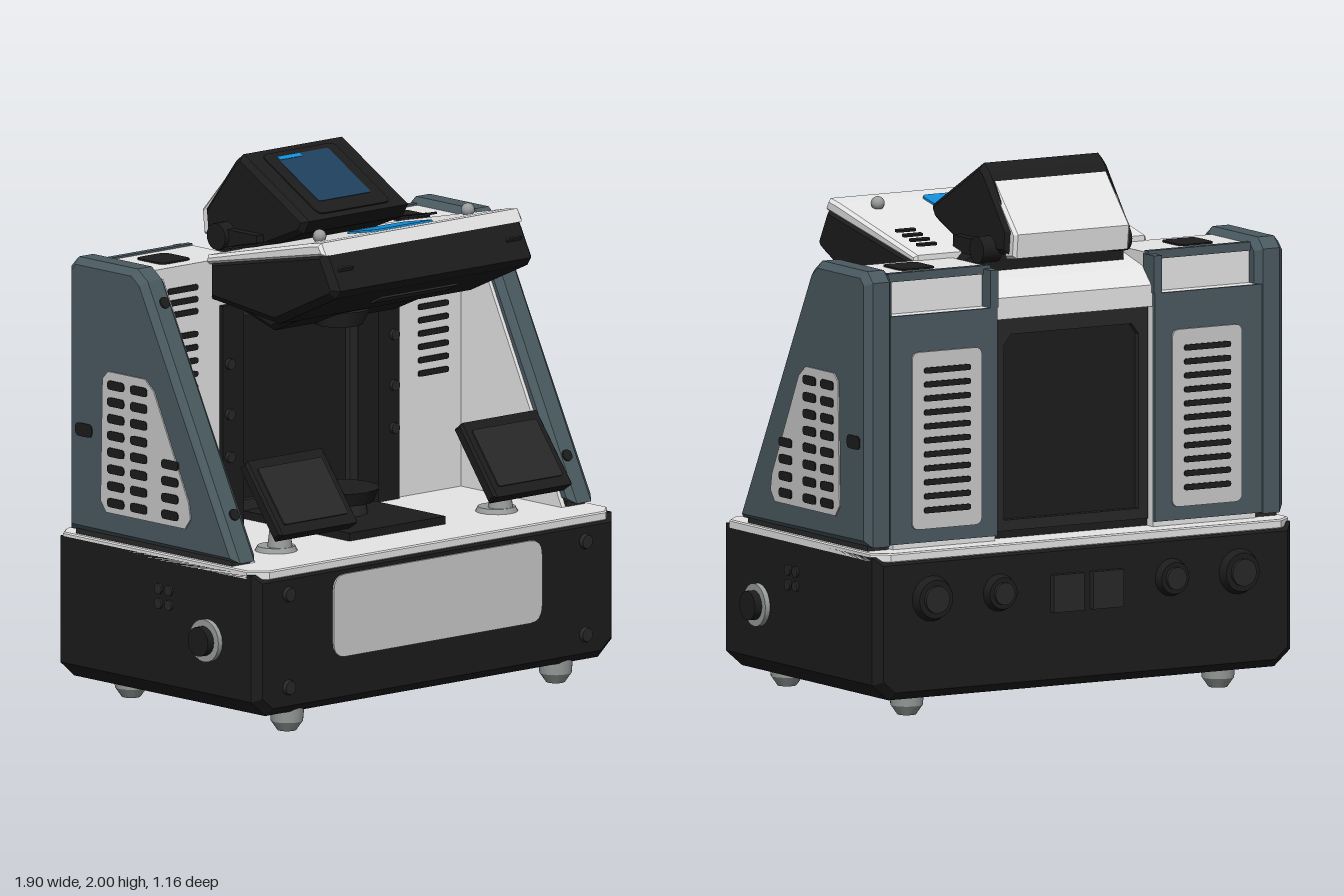
import * as THREE from 'three';

const mat = (name, color) => {
  const m = new THREE.MeshStandardMaterial({ color });
  m.name = name;
  return m;
};

export function createModel() {
  const black = mat('black', 0x1c1c1c), dark = mat('dark grey', 0x282828);
  const white = mat('white', 0xe6e6e6), pale = mat('pale grey', 0xcacaca);
  const slate = mat('slate', 0x4a5a60), grey = mat('grey', 0x9a9d9d);
  const blue = mat('blue', 0x128fda), glass = mat('screen blue', 0x1f3f5c);
  const model = new THREE.Group();

  const add = (name, geo, m, x = 0, y = 0, z = 0, rx = 0, ry = 0, rz = 0, parent = model) => {
    const mesh = new THREE.Mesh(geo, m);
    mesh.name = name;
    mesh.position.set(x, y, z);
    mesh.rotation.set(rx, ry, rz);
    parent.add(mesh);
    return mesh;
  };
  // box given by its limits
  const box = (name, m, x0, x1, y0, y1, z0, z1) =>
    add(name, new THREE.BoxGeometry(Math.abs(x1 - x0), y1 - y0, z1 - z0), m, (x0 + x1) / 2, (y0 + y1) / 2, (z0 + z1) / 2);
  const bevelled = (shape, length, b) => {
    const g = new THREE.ExtrudeGeometry(shape, {
      depth: length - 2 * b, bevelEnabled: b > 0, bevelThickness: b, bevelSize: b, bevelOffset: -b, bevelSegments: 1,
    });
    return g.translate(0, 0, b);
  };
  const poly = pts => new THREE.Shape(pts.map(p => new THREE.Vector2(p[0], p[1])));
  // [z, y] profile swept from x0 to x1
  const sweepX = (name, m, pts, x0, x1, b = 0) => {
    const g = bevelled(poly(pts.map(([z, y]) => [-z, y])), Math.abs(x1 - x0), b);
    return add(name, g.rotateY(Math.PI / 2), m, Math.min(x0, x1));
  };
  // thin rounded plate facing +z before rotation
  const plate = (name, m, w, h, r, x, y, z, rx = 0, ry = 0, t = 0.008) => {
    const s = new THREE.Shape(), a = w / 2, c = h / 2;
    s.moveTo(-a + r, -c).lineTo(a - r, -c).quadraticCurveTo(a, -c, a, -c + r)
      .lineTo(a, c - r).quadraticCurveTo(a, c, a - r, c)
      .lineTo(-a + r, c).quadraticCurveTo(-a, c, -a, c - r)
      .lineTo(-a, -c + r).quadraticCurveTo(-a, -c, -a + r, -c);
    const g = new THREE.ExtrudeGeometry(s, { depth: t, bevelEnabled: false, curveSegments: 4 });
    return add(name, g, m, x, y, z, rx, ry);
  };
  const disc = (name, m, r1, r2, len, x, y, z, rx = 0, rz = 0) =>
    add(name, new THREE.CylinderGeometry(r1, r2, len, 20), m, x, y, z, rx, 0, rz);
  const H = Math.PI / 2;

  // base cabinet and deck
  const cabinet = poly([[-0.9, 0.14], [-0.83, 0.08], [0.83, 0.08], [0.9, 0.14], [0.9, 0.615], [-0.9, 0.615]]);
  add('baseCabinet', bevelled(cabinet, 1.1, 0.03), black, 0, 0, -0.545);
  const deck = poly([[-0.9, -0.5], [-0.84, -0.56], [0.84, -0.56], [0.9, -0.5],
    [0.9, 0.5], [0.84, 0.55], [-0.84, 0.55], [-0.9, 0.5]]);
  add('deck', bevelled(deck, 0.035, 0.005).rotateX(-H), white, 0, 0.595, 0);
  plate('frontPanel', pale, 1.04, 0.31, 0.06, 0, 0.415, 0.554);

  // platform, turntable and recessed back wall
  box('platform', black, -0.24, 0.24, 0.625, 0.66, -0.28, 0.34);
  disc('turntable', black, 0.15, 0.13, 0.05, 0, 0.73, 0.02);
  disc('turntableStem', dark, 0.1, 0.11, 0.06, 0, 0.68, 0.02);
  box('backWall', black, -0.35, 0.35, 0.625, 1.5, -0.42, -0.26);
  for (const [z, ry] of [[-0.26, 0], [-0.42, Math.PI]]) {
    const g = bevelled((() => {
      const s = poly([[-0.33, 0.66], [0.33, 0.66], [0.33, 1.45], [-0.33, 1.45]]);
      s.holes.push(new THREE.Path([[-0.29, 0.7], [-0.29, 1.35], [-0.26, 1.39], [0.26, 1.39], [0.29, 1.35], [0.29, 0.7]]
        .map(p => new THREE.Vector2(...p))));
      return s;
    })(), 0.025, 0);
    add('wallFrame', g, dark, 0, 0, z, 0, ry);
  }
  sweepX('rearCrossbar', white, [[-0.46, 1.45], [-0.46, 1.53], [-0.4, 1.59], [-0.2, 1.64], [-0.2, 1.45]], -0.36, 0.36);

  for (const s of [-1, 1]) {
    // feet and cabinet fittings
    for (const z of [0.47, -0.38]) {
      disc('foot', grey, 0.065, 0.06, 0.055, s * 0.67, 0.063, z);
      disc('footTip', grey, 0.06, 0.035, 0.036, s * 0.67, 0.018, z);
    }
    for (const y of [0.18, 0.53]) disc('frontBolt', dark, 0.025, 0.03, 0.02, s * 0.74, y, 0.56, H);
    disc('knobRing', grey, 0.08, 0.08, 0.03, s * 0.905, 0.34, 0.29, 0, H);
    disc('knob', black, 0.055, 0.055, 0.06, s * 0.92, 0.34, 0.29, 0, H);
    for (const z of [0.025, 0.08]) for (const y of [0.44, 0.495])
      disc('sideSocket', dark, 0.02, 0.02, 0.012, s * 0.902, y, z, 0, H);
    for (const [x, r] of [[0.66, 0.085], [0.37, 0.07]]) {
      disc('rearPortRim', black, r * 0.85, r, 0.03, s * x, 0.45, -0.56, -H);
      disc('rearPort', dark, r * 0.6, r * 0.6, 0.04, s * x, 0.45, -0.568, -H);
    }
    box('rearSwitch', dark, s * 0.02, s * 0.15, 0.36, 0.5, -0.57, -0.54);

    // tower with a notched rear top
    box('tower', white, s * 0.34, s * 0.78, 0.625, 1.5, -0.465, -0.15);
    box('towerTop', white, s * 0.34, s * 0.78, 1.5, 1.645, -0.42, -0.15);
    box('notchLip', slate, s * 0.34, s * 0.78, 1.62, 1.652, -0.43, -0.405);
    box('notchCheek', slate, s * 0.335, s * 0.37, 1.5, 1.64, -0.48, -0.4);
    box('towerRearPanel', slate, s * 0.34, s * 0.8, 0.65, 1.5, -0.48, -0.46);
    plate('rearVentPanel', pale, 0.3, 0.66, 0.03, s * 0.56, 1.03, -0.479, 0, Math.PI);
    for (let i = 0; i < 11; i++)
      plate('rearVentSlot', black, 0.2, 0.022, 0.01, s * 0.56, 0.77 + i * 0.052, -0.484, 0, Math.PI);
    plate('topHatch', black, 0.15, 0.15, 0.03, s * 0.6, 1.643, -0.28, -H);
    box('towerInnerPost', black, s * 0.335, s * 0.44, 0.63, 1.47, -0.27, -0.13);
    for (const y of [0.9, 1.06, 1.25]) disc('postBolt', dark, 0.02, 0.02, 0.02, s * 0.41, y, -0.125, H);
    for (const y of [1.08, 1.13, 1.18, 1.23, 1.28, 1.33, 1.38, 1.465, 1.51, 1.555])
      plate('frontVentSlot', black, 0.15, 0.022, 0.01, s * 0.625, y, -0.152);

    // sloping side panel with pale lining
    sweepX('sidePanel', slate, [[0.44, 0.645], [-0.48, 0.645], [-0.48, 1.63], [-0.44, 1.67], [-0.12, 1.67], [-0.065, 1.63]],
      s * 0.78, s * 0.9, 0.025);
    box('sidePanelFoot', dark, s * 0.79, s * 0.88, 0.625, 0.65, -0.45, 0.4);
    sweepX('panelLining', white, [[0.4, 0.63], [-0.3, 0.63], [-0.3, 1.62], [-0.1, 1.62]], s * 0.765, s * 0.785);
    sweepX('sideVentPanel', pale, [[0.17, 0.74], [0.2, 0.78], [0.19, 0.84], [0, 1.23], [-0.05, 1.27], [-0.25, 1.27],
      [-0.28, 1.24], [-0.29, 0.78], [-0.26, 0.74]], s * 0.898, s * 0.905);
    for (const [z, n] of [[0.09, 4], [-0.08, 8], [-0.205, 8]]) for (let i = 0; i < n; i++)
      plate('sideVentSlot', black, 0.09, 0.034, 0.015, s * 0.901, 0.78 + i * 0.063, z, 0, s * H);
    plate('sideLatch', black, 0.09, 0.05, 0.02, s * 0.896, 1.03, -0.385, 0, s * H);
    for (const y of [0.81, 1.55])
      disc('slopeBolt', black, 0.022, 0.022, 0.014, s * 0.83, y, 0.44 - (y - 0.645) * 0.513, H - 0.474);

    // tilted side monitor on a post
    disc('monitorPost', grey, 0.03, 0.05, 0.16, s * 0.55, 0.7, 0.3);
    disc('monitorPostBase', grey, 0.07, 0.08, 0.02, s * 0.55, 0.638, 0.28);
    sweepX('monitor', black, [[0.31, 0.99], [0.27, 0.96], [0.46, 0.71], [0.505, 0.74]], s * 0.34, s * 0.73, 0.01);
    plate('monitorScreen', dark, 0.32, 0.24, 0.01, s * 0.535, 0.865, 0.405, -0.66, 0);

    // head details on each side
    for (let i = 0; i < 4; i++)
      plate('headSlot', black, 0.085, 0.02, 0.008, s * 0.415, 1.69 + i * 0.011, -0.1 + i * 0.05, -1.77);
    add('headStud', new THREE.SphereGeometry(0.026, 12, 8), grey, s * 0.37, 1.79, 0.32);
    disc('screenHinge', black, 0.05, 0.05, 0.08, s * 0.28, 1.69, -0.3, 0, H);
    plate('headLatch', dark, 0.07, 0.03, 0.008, s * 0.42, 1.7, 0.51, 0.5);
  }

  // overhanging head
  sweepX('headBody', black, [[0.475, 1.77], [0.55, 1.63], [0.53, 1.6], [0.22, 1.46], [-0.15, 1.5], [-0.15, 1.65]], -0.5, 0.5, 0.025);
  sweepX('headCover', white, [[0.46, 1.8], [0.485, 1.755], [-0.16, 1.63], [-0.16, 1.665], [0.4, 1.79]], -0.5, 0.5, 0.012);
  sweepX('headNeck', black, [[0.25, 1.49], [0, 1.38], [-0.24, 1.45], [-0.24, 1.66], [0, 1.66]], -0.32, 0.32, 0.02);
  disc('headSensor', dark, 0.12, 0.09, 0.06, 0, 1.4, 0.02);
  plate('headFrontPlate', dark, 0.38, 0.07, 0.01, 0, 1.545, 0.43, 1.13);
  plate('touchPad', blue, 0.29, 0.18, 0.03, 0, 1.769, 0.3, -1.77);

  // display unit
  sweepX('displayHousing', black, [[0.13, 1.8], [-0.23, 2.0], [-0.27, 1.97], [-0.43, 1.77], [-0.42, 1.68], [-0.12, 1.66], [0.1, 1.75]],
    -0.265, 0.265, 0.02);
  sweepX('displayBackCover', white, [[-0.255, 1.97], [-0.28, 1.955], [-0.46, 1.76], [-0.45, 1.67], [-0.38, 1.66], [-0.38, 1.78]],
    -0.25, 0.25, 0.012);
  box('displayNeck', black, -0.3, 0.3, 1.6, 1.72, -0.32, -0.1);
  const tilt = -1.064;
  plate('displayBezel', black, 0.36, 0.36, 0.03, 0, 1.898, -0.052, tilt);
  plate('displayScreen', glass, 0.26, 0.27, 0.01, 0, 1.909, -0.067, tilt);
  plate('displayTab', blue, 0.11, 0.02, 0.004, -0.07, 1.971, -0.175, tilt);

  return model;
}
